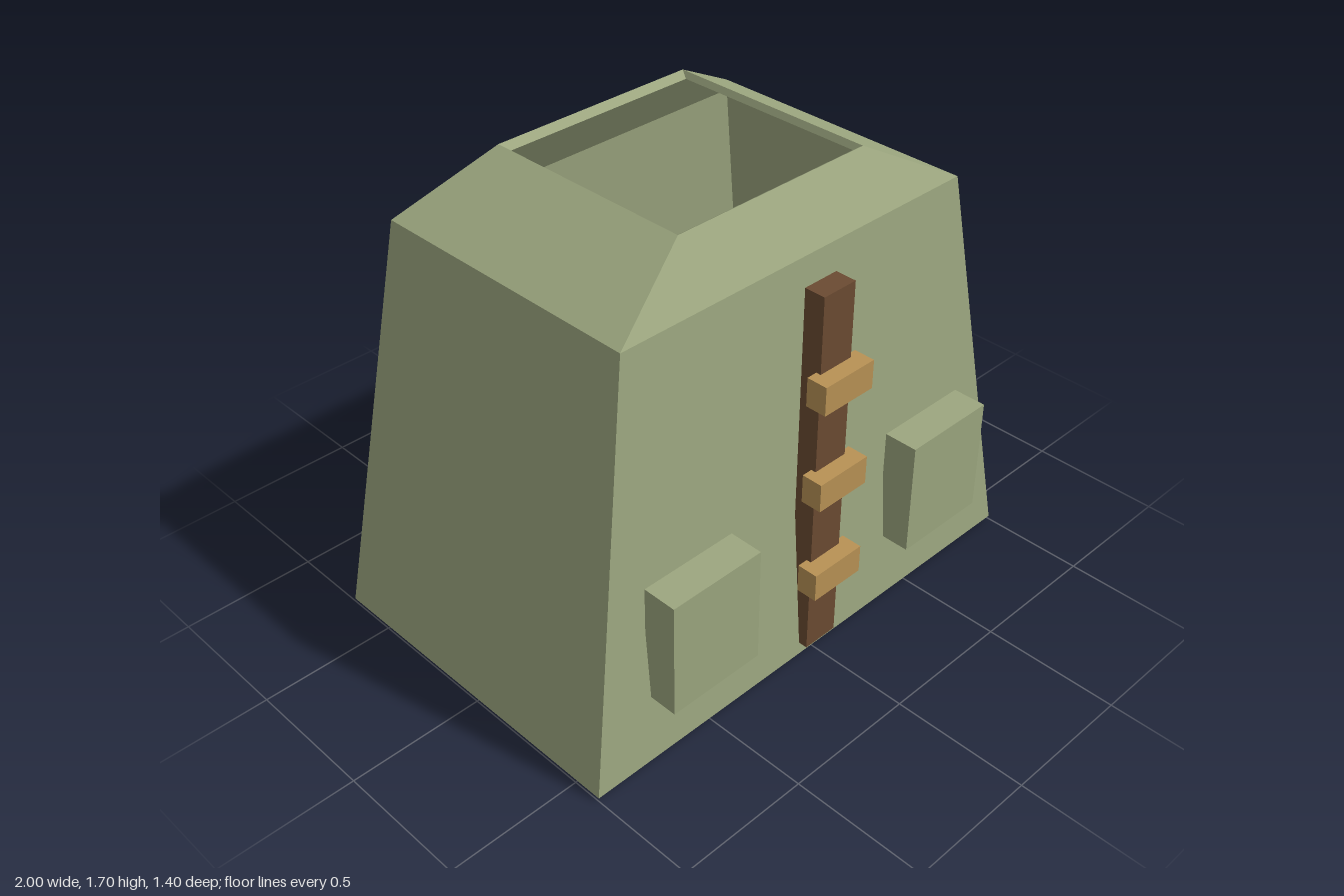
import * as THREE from 'three';

const cloth = new THREE.MeshStandardMaterial({ color: 0x9ca67f });
const leather = new THREE.MeshStandardMaterial({ color: 0x6b4b32 });
const wood = new THREE.MeshStandardMaterial({ color: 0xb89255 });

// Closed skin through rectangular rings [y, halfWidth, zFront, zBack]; the last ring joins the first
function ringShell(rings) {
  const corners = rings.map(([y, w, f, b]) => [[w, y, f], [w, y, b], [-w, y, b], [-w, y, f]]);
  const pos = [];
  corners.forEach((lower, i) => {
    const upper = corners[(i + 1) % corners.length];
    for (let j = 0; j < 4; j++) {
      const k = (j + 1) % 4;
      pos.push(...lower[j], ...lower[k], ...upper[k], ...lower[j], ...upper[k], ...upper[j]);
    }
  });
  const geo = new THREE.BufferGeometry();
  geo.setAttribute('position', new THREE.Float32BufferAttribute(pos, 3));
  geo.computeVertexNormals();
  return geo;
}

// Box given by its limits on each axis
function block(name, material, [x0, x1], [y0, y1], [z0, z1]) {
  const mesh = new THREE.Mesh(new THREE.BoxGeometry(x1 - x0, y1 - y0, z1 - z0), material);
  mesh.position.set((x0 + x1) / 2, (y0 + y1) / 2, (z0 + z1) / 2);
  mesh.name = name;
  return mesh;
}

export function createModel() {
  const model = new THREE.Group();
  model.name = 'coat';

  // Hollow tapered body: up the outside, over the neck, down the inside
  const body = new THREE.Mesh(ringShell([
    [0.013, 1, 0.61, -0.697],
    [1.513, 0.75, 0.488, -0.573],
    [1.7, 0.405, 0.363, -0.448],
    [1.678, 0.393, 0.333, -0.42],
    [1.49, 0.724, 0.461, -0.546],
    [0, 0.97, 0.582, -0.668],
  ]), cloth);
  body.name = 'body';
  model.add(body);

  // Front strip with its toggles
  model.add(block('frontStrip', leather, [-0.07, 0.07], [0.06, 1.467], [0.562, 0.64]));
  for (const y of [0.388, 0.763, 1.137]) {
    model.add(block('toggle', wood, [-0.11, 0.11], [y - 0.053, y + 0.053], [0.622, 0.7]));
  }

  // Pockets
  model.add(block('leftPocket', cloth, [0.375, 0.75], [0.265, 0.7], [0.568, 0.695]));
  model.add(block('rightPocket', cloth, [-0.75, -0.375], [0.265, 0.7], [0.568, 0.695]));

  return model;
}
